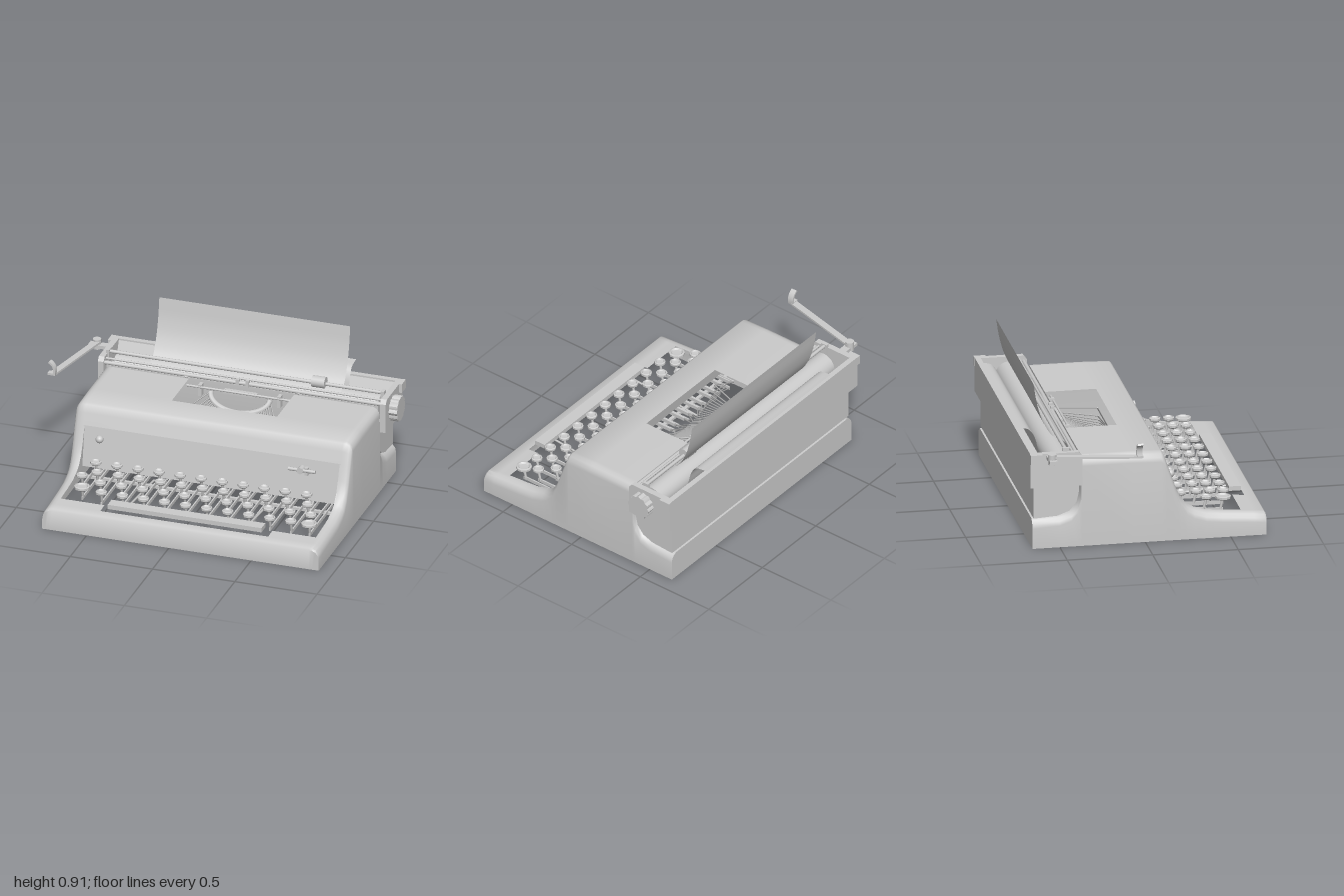
import * as THREE from 'three';
import { toCreasedNormals } from 'three/addons/utils/BufferGeometryUtils.js';

const MID = 0.07; // centre line of the body

export function createModel() {
  const model = new THREE.Group();
  const mat = new THREE.MeshStandardMaterial({ color: 0xcccccc, side: THREE.DoubleSide });

  const add = (name, geo, parent = model) => {
    const m = new THREE.Mesh(geo, mat);
    m.name = name;
    parent.add(m);
    return m;
  };
  const group = (name) => {
    const g = new THREE.Group();
    g.name = name;
    model.add(g);
    return g;
  };
  // box from its two extreme corners
  const box = (name, x0, x1, y0, y1, z0, z1, parent) =>
    add(name, new THREE.BoxGeometry(x1 - x0, y1 - y0, z1 - z0)
      .translate((x0 + x1) / 2, (y0 + y1) / 2, (z0 + z1) / 2), parent);
  // round bar between two points
  const rod = (name, a, b, r, parent, sides = 8) => {
    const p = new THREE.Vector3(...a), q = new THREE.Vector3(...b);
    const m = add(name, new THREE.CylinderGeometry(r, r, p.distanceTo(q), sides), parent);
    m.position.copy(p).add(q).multiplyScalar(0.5);
    m.quaternion.setFromUnitVectors(new THREE.Vector3(0, 1, 0), q.sub(p).normalize());
    return m;
  };
  // side outline of [z, y] points, extruded from x0 to x1
  const slab = (name, pts, x0, x1, parent) => {
    const shape = new THREE.Shape(pts.map(p => new THREE.Vector2(...p)));
    const geo = new THREE.ExtrudeGeometry(shape, { depth: x1 - x0, bevelEnabled: false });
    return add(name, geo.rotateY(-Math.PI / 2).translate(x1, 0, 0), parent);
  };

  // Body shell: cross-sections lofted from front to back, leaving out the openings
  const cheek = [[0.57, 0.138], [0.45, 0.146], [0.36, 0.155], [0.29, 0.177], [0.25, 0.2],
    [0.21, 0.25], [0.18, 0.32], [0.15, 0.41]];
  const stations = [[0.71, 0], [0.71, 0.12], [0.7, 0.13], [0.64, 0.133], ...cheek,
    [0.125, 0.48], [0.108, 0.525], [0.095, 0.535], [-0.07, 0.54], [-0.37, 0.54], [-0.375, 0.33],
    [-0.39, 0.26], [-0.43, 0.21], [-0.5, 0.185], [-0.66, 0.175], [-0.66, 0]];
  const half = [[-0.77, -1], [-0.77, 0.055], [-0.765, 0.03], [-0.75, 0.01], [-0.73, 0], [-0.71, 0], [-0.44, 0], [-0.25, 0]];
  const section = [...half, ...half.map(([x, d]) => [2 * MID - x, d]).reverse()];
  const at = (i, j) => {
    const [z, y] = stations[i], [x, d] = section[j];
    return [x, d < 0 ? 0 : Math.max(0, y - d), z];
  };
  const open = (i, j) => {
    const z = (stations[i][0] + stations[i + 1][0]) / 2;
    const x = Math.abs((section[j][0] + section[j + 1][0]) / 2 - MID);
    return (z < 0.57 && z > 0.15 && x < 0.78) || (z > 0.57 && z < 0.64 && x < 0.5) ||
      (z < -0.07 && z > -0.37 && x < 0.31);
  };
  const verts = [];
  for (let i = 0; i < stations.length - 1; i++) {
    for (let j = 0; j < section.length - 1; j++) {
      if (open(i, j)) continue;
      const a = at(i, j), b = at(i, j + 1), c = at(i + 1, j + 1), d = at(i + 1, j);
      verts.push(...a, ...b, ...c, ...a, ...c, ...d);
    }
  }
  const shell = new THREE.BufferGeometry();
  shell.setAttribute('position', new THREE.Float32BufferAttribute(verts, 3));
  add('bodyShell', toCreasedNormals(shell, 0.8));

  // Front panel between the cheeks, with its knob and switch
  const cheekWall = [...cheek, [0.14, 0.41], [0.185, 0.15], [0.57, 0.11]];
  slab('leftCheekWall', cheekWall, 0.845, 0.852);
  slab('rightCheekWall', cheekWall, -0.712, -0.705);
  slab('frontPanel', [[0.15, 0.412], [0.19, 0.17], [0.18, 0.17], [0.138, 0.412]], -0.71, 0.85);
  add('panelKnob', new THREE.SphereGeometry(0.023, 16, 10)).position.set(-0.605, 0.35, 0.178);
  const sw = group('panelSwitch');
  rod('switchBar', [0.545, 0.353, 0.185], [0.71, 0.353, 0.185], 0.011, sw);
  rod('switchPivot', [0.62, 0.353, 0.15], [0.62, 0.353, 0.2], 0.02, sw, 12);
  box('switchTab', 0.645, 0.665, 0.325, 0.372, 0.165, 0.19, sw);

  // Rear housing under the carriage
  slab('rearHousing', [[-0.385, 0.54], [-0.385, 0.33], [-0.4, 0.265], [-0.44, 0.215], [-0.51, 0.188],
    [-0.65, 0.178], [-0.65, 0.38], [-0.42, 0.38], [-0.4, 0.54]], -0.755, 0.895);

  // Keys: dished caps on stems, with levers running back to the type basket
  const keys = group('keys');
  const capGeo = new THREE.LatheGeometry([[0, -0.02], [0.024, -0.02], [0.033, -0.012], [0.033, 0],
    [0.026, 0.003], [0.02, -0.005], [0, -0.007]].map(p => new THREE.Vector2(...p)), 10);
  const capCreased = toCreasedNormals(capGeo, 0.6);
  const list = [];
  const rows = [[0.24, 0.238, -0.605, 11], [0.335, 0.226, -0.565, 11], [0.425, 0.208, -0.515, 11], [0.51, 0.192, -0.48, 10]];
  for (const [z, y, x0, n] of rows) {
    for (let i = 0; i < n; i++) list.push([x0 + i * 0.128, y, z, 1]);
  }
  list.push([-0.642, 0.215, 0.38, 1], [-0.605, 0.195, 0.485, 1.4], [0.785, 0.195, 0.515, 1.4]);
  list.sort((a, b) => a[0] - b[0]);

  const basket = group('typeBasket');
  list.forEach(([x, y, z, s], i) => {
    const cap = add('keyCap', capCreased, keys);
    cap.position.set(x, y, z);
    cap.scale.set(s, 1, s);
    rod('keyStem', [x, y - 0.015, z], [x, y - 0.08, z - 0.015], 0.008, keys, 6);
    box('keyLever', x - 0.004, x + 0.004, y - 0.09, y - 0.07, 0.1, z, keys);

    // linkage and type bar, fanned over a bowl
    const t = (i / (list.length - 1)) * 2 - 1, c = Math.sqrt(1 - t * t);
    const low = [MID + 0.33 * t, 0.42 - 0.15 * c, -0.06];
    rod('linkage', [x, y - 0.08, 0.1], low, 0.004, basket, 4);
    rod('typeBar', low, [MID + 0.18 * t, 0.49 - 0.08 * c, -0.35 + 0.06 * c], 0.0045, basket, 4);
  });
  box('spaceBar', -0.4, 0.535, 0.148, 0.175, 0.56, 0.63, keys);
  for (const x of [-0.3, 0.43]) rod('spaceBarArm', [x, 0.15, 0.6], [x, 0.1, 0.1], 0.007, keys, 6);
  box('keyCrossBar', -0.7, 0.84, 0.1, 0.115, 0.18, 0.2, keys);

  // Curved segment holding the type bars
  const arcPts = [], guidePts = [];
  for (let i = 0; i <= 16; i++) {
    const a = Math.PI * i / 16;
    arcPts.push(new THREE.Vector3(MID - 0.18 * Math.cos(a), 0.49 - 0.08 * Math.sin(a), -0.35 + 0.06 * Math.sin(a)));
    guidePts.push(new THREE.Vector3(MID - 0.35 * Math.cos(a), 0.54 + 0.015 * Math.sin(a), -0.385 - 0.02 * Math.sin(a)));
  }
  add('segment', new THREE.TubeGeometry(new THREE.CatmullRomCurve3(arcPts), 32, 0.017, 8), basket);
  add('ribbonGuide', new THREE.TubeGeometry(new THREE.CatmullRomCurve3(guidePts), 32, 0.008, 6), basket);
  box('typeRest', MID - 0.1, MID + 0.1, 0.5, 0.515, -0.37, -0.33, basket);
  rod('ribbonBar', [-0.25, 0.515, -0.335], [0.39, 0.515, -0.335], 0.007, basket);
  for (const s of [-1, 1]) {
    box('ribbonFork', MID + s * 0.03 - 0.01, MID + s * 0.03 + 0.01, 0.49, 0.575, -0.4, -0.38, basket);
    box('ribbonPost', MID + s * 0.24 - 0.01, MID + s * 0.24 + 0.01, 0.46, 0.53, -0.37, -0.33, basket);
  }

  // Carriage tray
  const carriage = group('carriage');
  const plate = [[-0.375, 0.38], [-0.375, 0.56], [-0.395, 0.585], [-0.675, 0.585], [-0.675, 0.38]];
  slab('rightEndPlate', plate, -0.805, -0.77, carriage);
  slab('leftEndPlate', plate, 0.91, 0.945, carriage);
  box('carriageFloor', -0.78, 0.92, 0.38, 0.39, -0.67, -0.4, carriage);
  box('backWall', -0.8, 0.94, 0.38, 0.585, -0.678, -0.645, carriage);
  box('rightBackTab', -0.825, -0.8, 0.53, 0.585, -0.68, -0.61, carriage);
  box('leftBackTab', 0.94, 0.962, 0.53, 0.585, -0.68, -0.61, carriage);
  slab('paperTable', [[-0.645, 0.575], [-0.58, 0.42], [-0.59, 0.415], [-0.655, 0.575]], -0.77, 0.91, carriage);
  for (const x of [-0.7, 0.84]) box('carriageFoot', x - 0.03, x + 0.03, 0.355, 0.382, -0.6, -0.545, carriage);
  rod('frontRail', [-0.8, 0.55, -0.395], [0.93, 0.55, -0.395], 0.012, carriage);
  rod('rearRail', [-0.77, 0.565, -0.42], [0.91, 0.565, -0.42], 0.007, carriage);

  // Platen, knob with scalloped rim, and paper bail
  rod('platen', [-0.73, 0.49, -0.49], [0.88, 0.49, -0.49], 0.076, carriage, 32);
  rod('platenAxle', [-0.8, 0.49, -0.49], [0.96, 0.49, -0.49], 0.025, carriage, 12);
  const rim = [];
  for (let i = 0; i < 48; i++) {
    const a = i / 48 * Math.PI * 2, r = 0.072 + 0.004 * Math.cos(a * 12);
    rim.push([-0.485 + r * Math.cos(a), 0.495 + r * Math.sin(a)]);
  }
  slab('platenKnob', rim, 0.95, 1, carriage);
  rod('paperBail', [-0.77, 0.59, -0.465], [0.9, 0.59, -0.465], 0.011, carriage);
  rod('bailRoller', [0.47, 0.597, -0.465], [0.55, 0.597, -0.465], 0.034, carriage, 16);
  for (const x of [-0.77, 0.9]) box('bailArm', x - 0.01, x + 0.01, 0.5, 0.605, -0.485, -0.445, carriage);

  // Paper wrapped round the platen
  const path = new THREE.CatmullRomCurve3([[-0.71, 0.65], [-0.635, 0.637], [-0.6, 0.59], [-0.575, 0.5],
    [-0.54, 0.42], [-0.47, 0.408], [-0.41, 0.45], [-0.41, 0.53], [-0.45, 0.568], [-0.495, 0.59], [-0.55, 0.68],
    [-0.585, 0.79], [-0.605, 0.91]].map(([z, y]) => new THREE.Vector3(0, y, z)));
  const sheet = new THREE.PlaneGeometry(1.16, 1, 1, 60);
  const pos = sheet.attributes.position;
  for (let i = 0; i < pos.count; i++) {
    const p = path.getPoint(Math.min(1, Math.max(0, pos.getY(i) + 0.5)));
    pos.setXYZ(i, pos.getX(i) + MID, p.y, p.z);
  }
  sheet.computeVertexNormals();
  add('paper', sheet);

  // Carriage return lever with an upturned finger rest
  const lever = group('returnLever');
  box('leverBracket', -0.92, -0.79, 0.555, 0.575, -0.585, -0.54, lever);
  rod('leverPivot', [-0.875, 0.545, -0.565], [-0.875, 0.605, -0.565], 0.025, lever, 12);
  const arm = box('leverArm', -0.02, 0.02, -0.006, 0.006, 0, 0.5, lever);
  arm.position.set(-0.87, 0.587, -0.565);
  arm.rotation.set(-0.015, -0.21, 0, 'YXZ');
  const rest = new THREE.Shape();
  rest.moveTo(-0.955, 0.592);
  rest.quadraticCurveTo(-0.945, 0.65, -0.99, 0.677);
  rest.lineTo(-0.998, 0.668);
  rest.quadraticCurveTo(-0.96, 0.65, -0.968, 0.605);
  rest.lineTo(-1, 0.605);
  rest.lineTo(-1, 0.592);
  add('fingerRest', new THREE.ExtrudeGeometry(rest, { depth: 0.035, bevelEnabled: false }).translate(0, 0, -0.088), lever);

  return model;
}
